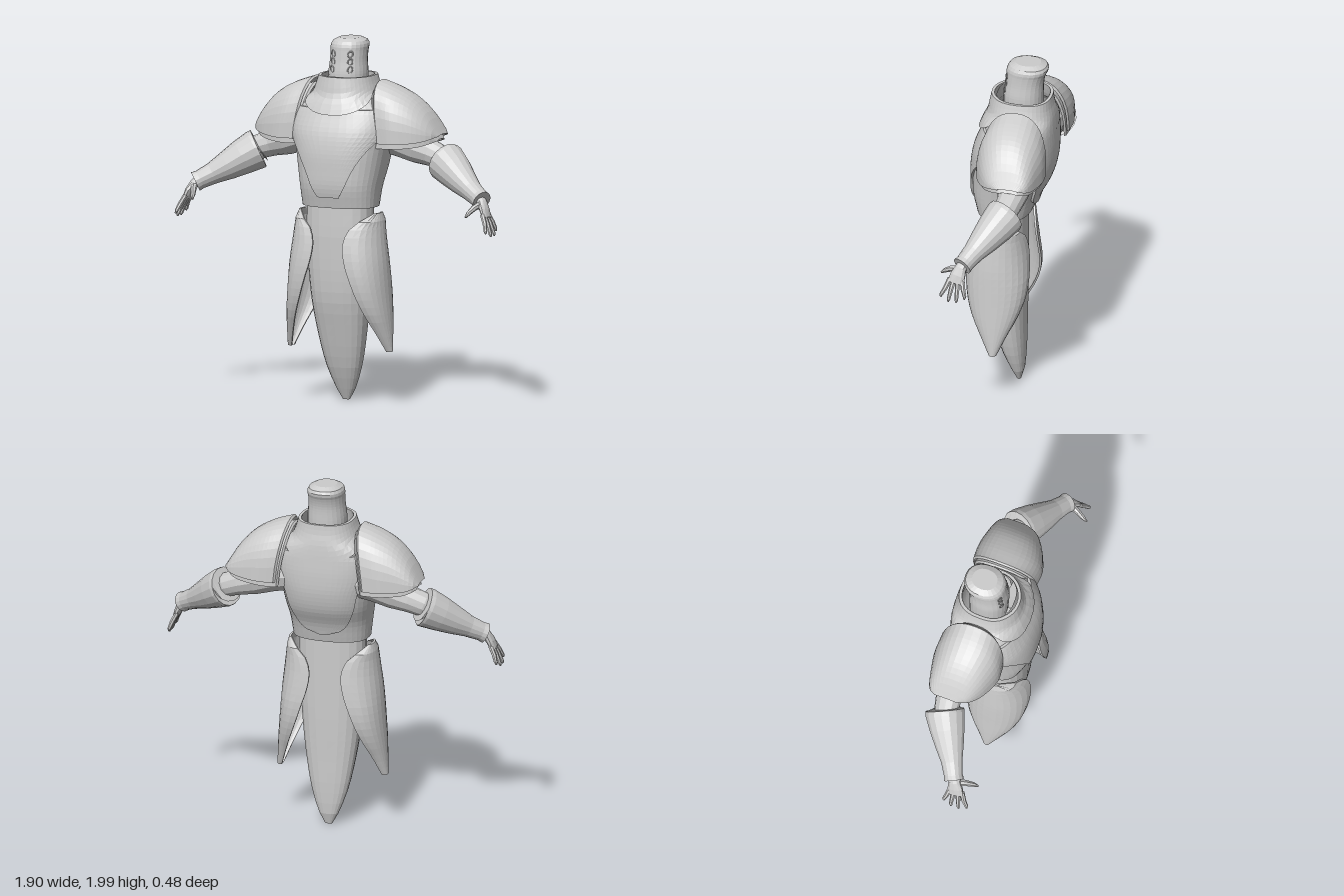
import * as THREE from 'three';

const material = new THREE.MeshStandardMaterial({ color: 0xcccccc, flatShading: true, side: THREE.DoubleSide });
const V = (x, y, z) => new THREE.Vector3(x, y, z);
const spow = (v, p) => Math.sign(v) * Math.abs(v) ** p;
const range = (a, b, n, f) => Array.from({ length: n + 1 }, (_, i) => f(a + (b - a) * i / n));

// Smooth lookup in a table of [key, ...values]
function at(table, k) {
  let i = 0;
  while (i < table.length - 2 && k > table[i + 1][0]) i++;
  const A = table[i], B = table[i + 1], P = table[i - 1] || A, Q = table[i + 2] || B;
  const w = B[0] - A[0], t = Math.min(1, Math.max(0, (k - A[0]) / w));
  return A.slice(1).map((_, j) => {
    const c = j + 1, m0 = (B[c] - P[c]) / (B[0] - P[0]) * w, m1 = (Q[c] - A[c]) / (Q[0] - A[0]) * w;
    const t2 = t * t, t3 = t2 * t;
    return (2 * t3 - 3 * t2 + 1) * A[c] + (t3 - 2 * t2 + t) * m0 + (3 * t2 - 2 * t3) * B[c] + (t3 - t2) * m1;
  });
}

// Mesh skinned over closed cross-sections
function skin(name, rows) {
  const n = rows[0].length, index = [];
  for (let i = 0; i < rows.length - 1; i++) for (let j = 0; j < n; j++) {
    const a = i * n + j, b = i * n + (j + 1) % n;
    index.push(a, b, b + n, a, b + n, a + n);
  }
  const g = new THREE.BufferGeometry().setFromPoints(rows.flat());
  g.setIndex(index);
  g.computeVertexNormals();
  const mesh = new THREE.Mesh(g, material);
  mesh.name = name;
  return mesh;
}

// Solid body: ends closed to their centres
function solid(name, rows) {
  const cap = r => {
    const c = r.reduce((s, p) => s.add(p), V(0, 0, 0)).divideScalar(r.length);
    return r.map(() => c);
  };
  return skin(name, [cap(rows[0]), ...rows, cap(rows.at(-1))]);
}

// Thin plate with thickness; each row is [outer points, inner points]
function plate(name, rows) {
  const loops = rows.map(([o, i]) => [...o, ...[...i].reverse()]);
  const cap = r => r.map((p, k) => p.clone().lerp(r[r.length - 1 - k], 0.5));
  return skin(name, [cap(loops[0]), ...loops, cap(loops.at(-1))]);
}

// Point on an upright body; table rows are [y, halfWidth, frontZ, backZ]
function bodyPoint(table, y, a, d = 0, p = 0.8) {
  const [w, f, b] = at(table, y);
  return V((w + d) * spow(Math.sin(a), p), y, (f + b) / 2 + ((f - b) / 2 + d) * spow(Math.cos(a), p));
}
const bodyRows = (table, y0, y1, n, seg, p) => range(y0, y1, n, y =>
  range(0, 2 * Math.PI * (1 - 1 / seg), seg - 1, a => bodyPoint(table, y, a, 0, p)));

// Limb through points [x, y, z, thickness, width]
function limb(name, pts, seg = 10) {
  const c = pts.map(p => V(p[0], p[1], p[2]));
  return solid(name, pts.map((p, i) => {
    const d = c[Math.min(i + 1, c.length - 1)].clone().sub(c[Math.max(i - 1, 0)]).normalize();
    const u = d.clone().cross(V(0, 0, 1)).normalize(), v = d.clone().cross(u);
    return range(0, 2 * Math.PI * (1 - 1 / seg), seg - 1, a => c[i].clone()
      .addScaledVector(u, Math.cos(a) * p[3]).addScaledVector(v, Math.sin(a) * (p[4] ?? p[3])));
  }));
}

const TORSO = [[1.09, .212, .2, -.1], [1.2, .225, .225, -.135], [1.3, .243, .228, -.185], [1.4, .26, .224, -.21],
  [1.5, .28, .205, -.215], [1.6, .275, .165, -.21], [1.66, .235, .14, -.205], [1.7, .175, .12, -.2],
  [1.75, .15, .11, -.19], [1.8, .135, .1, -.185]];
const SKIRT = [[.01, .02, -.008, -.03], [.05, .045, .01, -.045], [.2, .1, .07, -.055], [.4, .14, .125, -.057],
  [.6, .165, .17, -.06], [.9, .185, .185, -.06], [1.11, .187, .18, -.06]];
const HELMET = [[1.62, .1, .06, -.15], [1.8, .107, .065, -.153], [1.88, .1, .055, -.156], [1.93, .099, .05, -.168],
  [1.965, .1, .045, -.183], [1.99, .085, .025, -.168], [2, .06, 0, -.14]];
const CHEST = [[1.15, .06], [1.2, .09], [1.3, .135], [1.4, .195], [1.47, .25], [1.52, .268], [1.63, .24]];
const BACK = [[1.14, .02], [1.16, .08], [1.2, .125], [1.3, .17], [1.4, .195], [1.5, .23], [1.63, .23]];
const TASSET = [[.3, .315, .285, .08, .035], [.4, .31, .25, .135, -.01], [.5, .303, .21, .19, -.06],
  [.6, .295, .17, .225, -.095], [.7, .288, .135, .24, -.108], [.8, .28, .102, .24, -.105], [.9, .268, .09, .225, -.095],
  [.98, .258, .12, .2, -.08], [1.03, .25, .18, .165, -.055], [1.06, .24, .22, .1, 0]];
const PAULDRON = [[.2, 1.78, 1.45, .185, -.05], [.3, 1.745, 1.45, .188, -.05], [.4, 1.69, 1.455, .165, -.058],
  [.48, 1.61, 1.465, .135, -.07], [.53, 1.53, 1.48, .1, -.082], [.55, 1.495, 1.487, .06, -.09]];

// Raised plate following the torso, with half-width given by an outline
function torsoPlate(name, outline, centre, d) {
  return plate(name, range(outline[0][0], 1.63, 20, y => {
    const A = Math.asin(Math.min(.99, at(outline, y)[0] / at(TORSO, y)[0]) ** 1.25);
    return [d, -.005].map(o => range(-A, A, 18, a => bodyPoint(TORSO, y, centre + a, o)));
  }));
}

// Shoulder dome, inset and lowered for the under-layer
function pauldron(name, inset, drop) {
  return plate(name, range(.2, .55, 14, x => {
    const [top, bottom, h, c] = at(PAULDRON, x), lean = .055 * (.55 - x) / .35;
    return [inset, inset + .01].map(o => range(0, Math.PI, 18, s => V(
      x - o + lean * (1 - Math.sin(s)),
      bottom - drop + Math.max(.004, top - bottom - o + drop * .5) * Math.sin(s) ** .75,
      c - Math.max(.01, h - o) * spow(Math.cos(s), .85))));
  }));
}

// Curved hip plate, wrapping from front to back
function tasset() {
  return plate('hipPlate', range(.3, 1.06, 18, y => {
    const [outer, inner, f, b] = at(TASSET, y);
    return [0, .012].map(o => range(0, Math.PI, 14, t => V(
      inner + (outer - inner - o) * Math.max(0, Math.sin(t)) ** .85, y,
      (f + b) / 2 + Math.max(.005, (f - b) / 2 - o) * Math.cos(t))));
  }));
}

function buildSide(name, sign) {
  const side = new THREE.Group();
  side.name = name;
  side.add(tasset(), pauldron('shoulderPlate', 0, 0), pauldron('shoulderUnderPlate', .014, .028));
  side.add(limb('upperArm', [[.2, 1.47, -.09, .1], [.3, 1.45, -.09, .1], [.4, 1.41, -.09, .088], [.48, 1.385, -.09, .074],
    [.55, 1.36, -.08, .068], [.64, 1.3, -.04, .065]], 12));
  // Forearm guard with a rolled rim at both ends
  side.add(limb('forearmGuard', [[.565, 1.345, -.085, .09], [.562, 1.348, -.087, .108], [.575, 1.34, -.08, .11],
    [.64, 1.3, -.043, .098], [.71, 1.255, -.002, .08], [.78, 1.213, .038, .06], [.84, 1.18, .07, .052],
    [.862, 1.168, .082, .056], [.862, 1.168, .082, .042]], 16));
  // Hand
  side.add(limb('palm', [[.83, 1.19, .065, .032], [.868, 1.155, .088, .026, .034], [.888, 1.12, .1, .022, .044],
    [.905, 1.08, .108, .016, .046]]));
  for (let i = 0; i < 4; i++) {
    const z0 = .073 + i * .023, z1 = .05 + i * .044, low = i % 3 ? 0 : .02, x = .94 - low / 2;
    side.add(limb('finger' + (i + 1), [[.893, 1.1, z0, .014], [.918, 1.05, (z0 + z1) / 2, .013],
      [x, .995 + low, z1, .01], [x + .004, .982 + low, z1 + .002, .005]], 7));
  }
  side.add(limb('thumb', [[.86, 1.15, .1, .02], [.845, 1.135, .145, .017], [.83, 1.11, .185, .013], [.823, 1.09, .208, .006]], 7));
  side.scale.x = sign;
  return side;
}

export function createModel() {
  const model = new THREE.Group();
  model.name = 'armour';

  // Trunk and its plates
  const trunk = bodyRows(TORSO, 1.09, 1.8, 22, 36);
  const underside = trunk[0].map(p => V(p.x * .1, 1.09, .05 + (p.z - .05) * .1));
  model.add(skin('torso', [underside, ...trunk]));
  model.add(torsoPlate('chestPlate', CHEST, 0, .012), torsoPlate('backPlate', BACK, Math.PI, .016));
  model.add(solid('skirt', bodyRows(SKIRT, .01, 1.11, 18, 20)));

  // Collar with a ridge and a pointed lower edge at the front
  model.add(plate('collar', range(0, 1, 7, v => [.018, .002].map(o => range(-Math.PI, Math.PI, 40, a => {
    const c = Math.cos(a), low = 1.7 - (c > 0 ? .1 * c ** 3 : .1 * c * c);
    const p = bodyPoint(TORSO, low + (1.8 - low) * v, a, o);
    p.z += .014 * Math.max(0, c) ** 10;
    return p;
  })))));

  // Helmet with slanted breathing holes
  model.add(solid('helmet', bodyRows(HELMET, 1.62, 2, 24, 24, .9)));
  for (const s of [-1, 1]) for (const y of [1.835, 1.877, 1.918]) {
    const hole = new THREE.Mesh(new THREE.TorusGeometry(.013, .003, 6, 14), material);
    hole.name = 'helmetVent';
    hole.position.copy(bodyPoint(HELMET, y, s * .5, 0, .9));
    hole.rotation.set(0, s * .45, -s * .35, 'YXZ');
    hole.scale.y = 1.35;
    model.add(hole);
  }

  model.add(buildSide('leftSide', 1), buildSide('rightSide', -1));
  return model;
}
